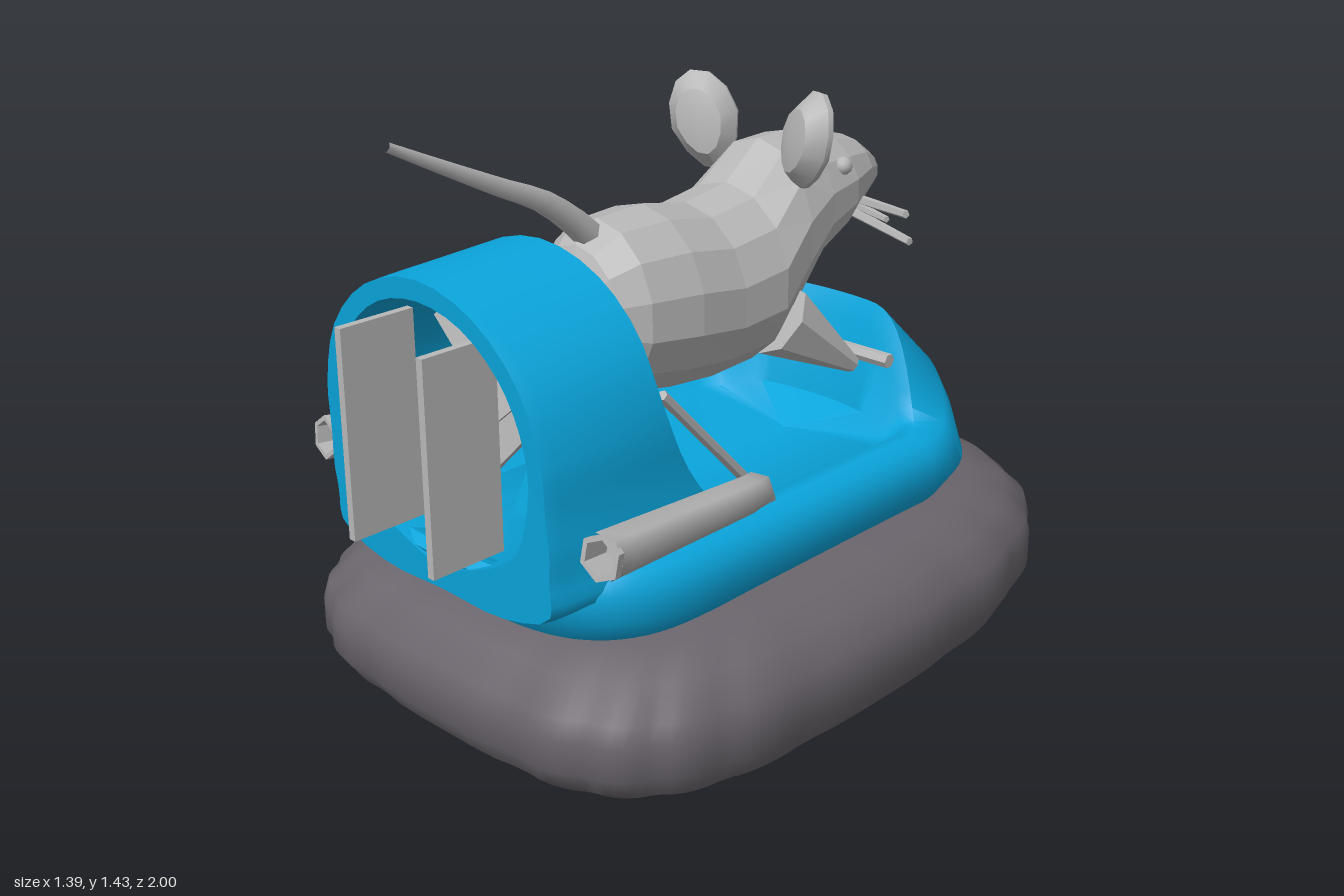
import * as THREE from 'three';
import { toCreasedNormals } from 'three/addons/utils/BufferGeometryUtils.js';

const V = (x, y, z) => new THREE.Vector3(x, y, z);
const mat = (name, color) => Object.assign(new THREE.MeshStandardMaterial({ color }), { name });

// Joins closed rings of [x, y, z] points; isAlt picks faces for a second material
function loft(rings, crease, isAlt = () => false) {
  const n = rings[0].length, main = [], alt = [];
  for (let i = 0; i < rings.length - 1; i++) {
    for (let j = 0; j < n; j++) {
      const a = i * n + j, b = i * n + (j + 1) % n, c = b + n, d = a + n;
      (isAlt(i, j) ? alt : main).push(a, d, b, b, d, c);
    }
  }
  const g = new THREE.BufferGeometry();
  g.setAttribute('position', new THREE.Float32BufferAttribute(rings.flat(2), 3));
  g.setIndex([...main, ...alt]);
  if (alt.length) {
    g.addGroup(0, main.length, 0);
    g.addGroup(main.length, alt.length, 1);
  }
  return toCreasedNormals(g, crease);
}

// Rounded boat outline: its exponents set how square the front and rear are
function outlinePoint(t, a, cf, zf, ef, cr, zr, er) {
  const c = Math.cos(t), s = Math.sin(t), e = s > 0 ? er : ef;
  const k = Math.abs(s) ** e;
  return [a * Math.sign(c) * Math.abs(c) ** e, s > 0 ? cr + (zr - cr) * k : cf + (zf - cf) * k];
}
const angles = n => Array.from({ length: n }, (_, j) => (j + 0.5) / n * Math.PI * 2);

// Tapered tube along a smooth path
function taper(points, r0, r1, sides, seg) {
  const curve = new THREE.CatmullRomCurve3(points);
  const g = new THREE.TubeGeometry(curve, seg, 1, sides);
  const p = g.attributes.position, v = V(0, 0, 0);
  for (let i = 0; i < p.count; i++) {
    const u = Math.floor(i / (sides + 1)) / seg, c = curve.getPointAt(u);
    v.fromBufferAttribute(p, i).sub(c).multiplyScalar(r0 + (r1 - r0) * u).add(c);
    p.setXYZ(i, v.x, v.y, v.z);
  }
  return toCreasedNormals(g, 1.2);
}

// Straight rod between two points
function rod(a, b, ra, rb, sides) {
  const d = b.clone().sub(a), g = new THREE.CylinderGeometry(rb, ra, d.length(), sides);
  g.applyQuaternion(new THREE.Quaternion().setFromUnitVectors(V(0, 1, 0), d.clone().normalize()));
  g.translate((a.x + b.x) / 2, (a.y + b.y) / 2, (a.z + b.z) / 2);
  return toCreasedNormals(g, 0.3);
}

export function createModel() {
  const root = new THREE.Group();
  root.name = 'mouseOnHovercraft';
  const blue = mat('hullBlue', 0x0aa5dc), grey = mat('lightGrey', 0xb8b8b8), rubber = mat('skirtRubber', 0x6a656c);
  const add = (name, geo, material) => {
    const m = new THREE.Mesh(geo, material);
    m.name = name;
    root.add(m);
    return m;
  };

  // Inflated skirt with soft lobes and a hollow underside: [scale, height, lobe depth]
  const skirt = [[0, 0.15, 0], [0.6, 0.14, 0], [0.8, 0.08, 0], [0.88, 0.025, 0.01], [0.95, 0.01, 0.02], [1, 0.08, 0.022],
    [1, 0.16, 0.022], [0.985, 0.21, 0.022], [0.91, 0.275, 0.02], [0.8, 0.315, 0.015], [0.6, 0.335, 0], [0, 0.335, 0]];
  add('skirt', loft(skirt.map(([k, y, depth]) => angles(120).map(t => {
    const f = k * (1 - depth * (1 - Math.sqrt(Math.abs(Math.cos(t * 10)))));
    const [x, z] = outlinePoint(t, 0.697, 0, -1.002, 0.76, 0, 0.922, 0.52);
    return [x * f, y, z * f];
  })), 1.2), rubber);

  // Hull, raised cowl and cockpit: [half width, side y, front z, front y, rear z, rear y]
  const hull = [[0.45, 0.32, -0.74, 0.32, 0.79, 0.32], [0.49, 0.38, -0.815, 0.37, 0.83, 0.38],
    [0.475, 0.455, -0.76, 0.53, 0.85, 0.44], [0.45, 0.487, -0.73, 0.6, 0.86, 0.46], [0.41, 0.5, -0.545, 0.765, 0.84, 0.48],
    [0.37, 0.495, -0.515, 0.71, 0.8, 0.47], [0.33, 0.445, -0.47, 0.48, 0.76, 0.43], [0, 0.42, -0.33, 0.42, 0.35, 0.42]];
  const N = 72, hullAngles = angles(N);
  const isLamp = (i, j) => {
    const t = (j + 1) / N * 360;
    return i === 1 && Math.abs(Math.abs(t - 270) - 33) < 15.5;
  };
  add('hull', loft(hull.map(([a, ys, zf, yf, zr, yr]) => hullAngles.map(t => {
    const [x, z] = outlinePoint(t, a, -0.35, zf, 1, 0.35, zr, 0.62);
    const s = Math.sin(t), w = THREE.MathUtils.smoothstep(Math.abs(s), 0.42, 0.94);
    return [x, ys + ((s < 0 ? yf : yr) - ys) * w, z];
  })), 0.95, isLamp), [blue, grey]);

  // Fan duct, its foot sweeping forward into the hull
  const arch = half => {
    const left = half.slice(1, -1).reverse().map(([x, y]) => V(-x, y, 0));
    const c = new THREE.CatmullRomCurve3([...half.map(([x, y]) => V(x, y, 0)), ...left], true);
    return c.getPoints(48).slice(0, 48);
  };
  const outer = arch([[0, 0.38], [0.25, 0.38], [0.43, 0.44], [0.4, 0.53], [0.385, 0.66], [0.38, 0.81],
    [0.325, 0.97], [0.19, 1.095], [0, 1.145]]);
  const inner = arch([[0, 0.44], [0.16, 0.48], [0.26, 0.54], [0.305, 0.64], [0.325, 0.75], [0.31, 0.87],
    [0.25, 0.98], [0.14, 1.065], [0, 1.095]]);
  const frontZ = y => 0.51 - Math.max(0, 0.95 - y) ** 2;
  const rearZ = y => 0.89 - 0.04 * (1.12 - y);
  const rear = (ps, dz, k) => ps.map(p => {
    const tuck = 1 - 0.12 * (1 - THREE.MathUtils.smoothstep(p.y, 0.42, 0.6));
    return [p.x * k * tuck, p.y - (p.y > 0.8 ? 0.015 : 0), rearZ(p.y) + dz];
  });
  const front = (ps, dz) => ps.map(p => [p.x, p.y, frontZ(p.y) + dz]);
  add('fanDuct', loft([rear(outer, 0, 0.97), rear(outer, -0.03, 1), front(outer, 0.02), front(inner, 0),
    rear(inner, 0, 1), rear(outer, 0, 0.97)], 0.95), blue);

  // Fan on its pylon
  const pylon = new THREE.CylinderGeometry(0.06, 0.13, 0.2, 4).rotateY(Math.PI / 4);
  add('fanPylon', toCreasedNormals(pylon.translate(0, 0.53, 0.48), 0.3), blue);
  for (let k = 0; k < 4; k++) {
    const blade = new THREE.BoxGeometry(0.172, 0.305, 0.01).translate(0, 0.152, 0);
    blade.rotateY(0.3).rotateZ(Math.PI / 4 + k * Math.PI / 2);
    add('fanBlade', blade.translate(0, 0.765, 0.6), grey);
  }

  // Mouse body: [z, centre y, half height, half width] from rump to nose
  const body = [[0.46, 0.94, 0, 0], [0.455, 0.94, 0.08, 0.08], [0.42, 0.94, 0.165, 0.14], [0.35, 0.935, 0.22, 0.185],
    [0.2, 0.925, 0.235, 0.21], [0.05, 0.905, 0.228, 0.21], [-0.1, 0.92, 0.235, 0.215], [-0.22, 1.01, 0.238, 0.19],
    [-0.33, 1.07, 0.18, 0.17], [-0.45, 1.09, 0.14, 0.152], [-0.56, 1.105, 0.095, 0.11], [-0.64, 1.095, 0.055, 0.065],
    [-0.675, 1.085, 0.03, 0.035], [-0.68, 1.085, 0, 0]];
  add('mouseBody', loft(body.map(([z, cy, h, w]) => angles(14).map(t => [w * Math.cos(t), cy + h * Math.sin(t), z])), 0.01), grey);
  add('mouseTail', taper([V(0, 1.08, 0.34), V(0, 1.15, 0.41), V(0, 1.23, 0.52), V(0, 1.28, 0.63), V(0, 1.36, 0.8),
    V(0, 1.43, 0.945)], 0.038, 0.012, 6, 12), grey);

  // Handlebar
  add('handlebar', rod(V(-0.28, 0.655, -0.435), V(0.28, 0.655, -0.435), 0.02, 0.02, 6), grey);

  for (const s of [1, -1]) {
    add('handlebarStem', rod(V(s * 0.18, 0.66, -0.43), V(s * 0.17, 0.61, -0.52), 0.018, 0.018, 6), grey);

    // Rudders, braces and exhausts
    add('rudder', new THREE.BoxGeometry(0.02, 0.51, 0.2).translate(s * 0.14, 0.76, 0.9), grey);
    add('brace', rod(V(s * 0.32, 0.49, 0.14), V(s * 0.325, 0.83, 0.47), 0.014, 0.014, 6), grey);
    const end = V(s * 0.48, 0.605, 0.82), bend = V(s * 0.415, 0.55, 0.27);
    add('exhaust', taper([V(s * 0.36, 0.47, 0.185), V(s * 0.385, 0.53, 0.205), bend,
      end.clone().lerp(bend, 0.5), end.clone().lerp(bend, 0.02)], 0.042, 0.055, 6, 14), grey);
    const cup = new THREE.LatheGeometry([[0.055, -0.02], [0.056, 0], [0.043, 0], [0.04, -0.07], [0, -0.07]]
      .map(p => new THREE.Vector2(...p)), 6);
    cup.applyQuaternion(new THREE.Quaternion().setFromUnitVectors(V(0, 1, 0), end.clone().sub(bend).normalize()));
    add('exhaustMouth', toCreasedNormals(cup.translate(end.x, end.y, end.z), 0.3), grey);

    // Cupped ears, narrower at the root and turned outwards
    const ear = new THREE.LatheGeometry([[0, -0.05], [0.06, -0.035], [0.092, 0.01], [0.09, 0.025], [0.075, 0.022],
      [0.045, -0.012], [0, -0.028]].map(p => new THREE.Vector2(...p)), 12);
    ear.rotateX(-Math.PI / 2).scale(1, 1.45, 1);
    const p = ear.attributes.position;
    for (let i = 0; i < p.count; i++) p.setX(i, p.getX(i) * (1.02 + 2 * Math.min(0, p.getY(i))));
    ear.rotateX(-0.1).rotateZ(-0.33 * s).rotateY(-0.45 * s);
    add('ear', toCreasedNormals(ear.translate(s * 0.172, 1.27, -0.2), 0.6), grey);

    // Eyes, whiskers and front legs
    add('eye', new THREE.IcosahedronGeometry(0.025, 1).translate(s * 0.135, 1.165, -0.4), grey);
    add('upperWhisker', rod(V(s * 0.12, 1.05, -0.5), V(s * 0.325, 1.067, -0.42), 0.014, 0.011, 5), grey);
    add('middleWhisker', rod(V(s * 0.12, 1.035, -0.49), V(s * 0.25, 1.035, -0.44), 0.012, 0.009, 5), grey);
    add('lowerWhisker', rod(V(s * 0.11, 1.02, -0.48), V(s * 0.34, 0.998, -0.42), 0.014, 0.011, 5), grey);
    add('frontLeg', rod(V(s * 0.14, 0.81, -0.15), V(s * 0.225, 0.655, -0.35), 0.1, 0.022, 7), grey);
  }
  return root;
}
